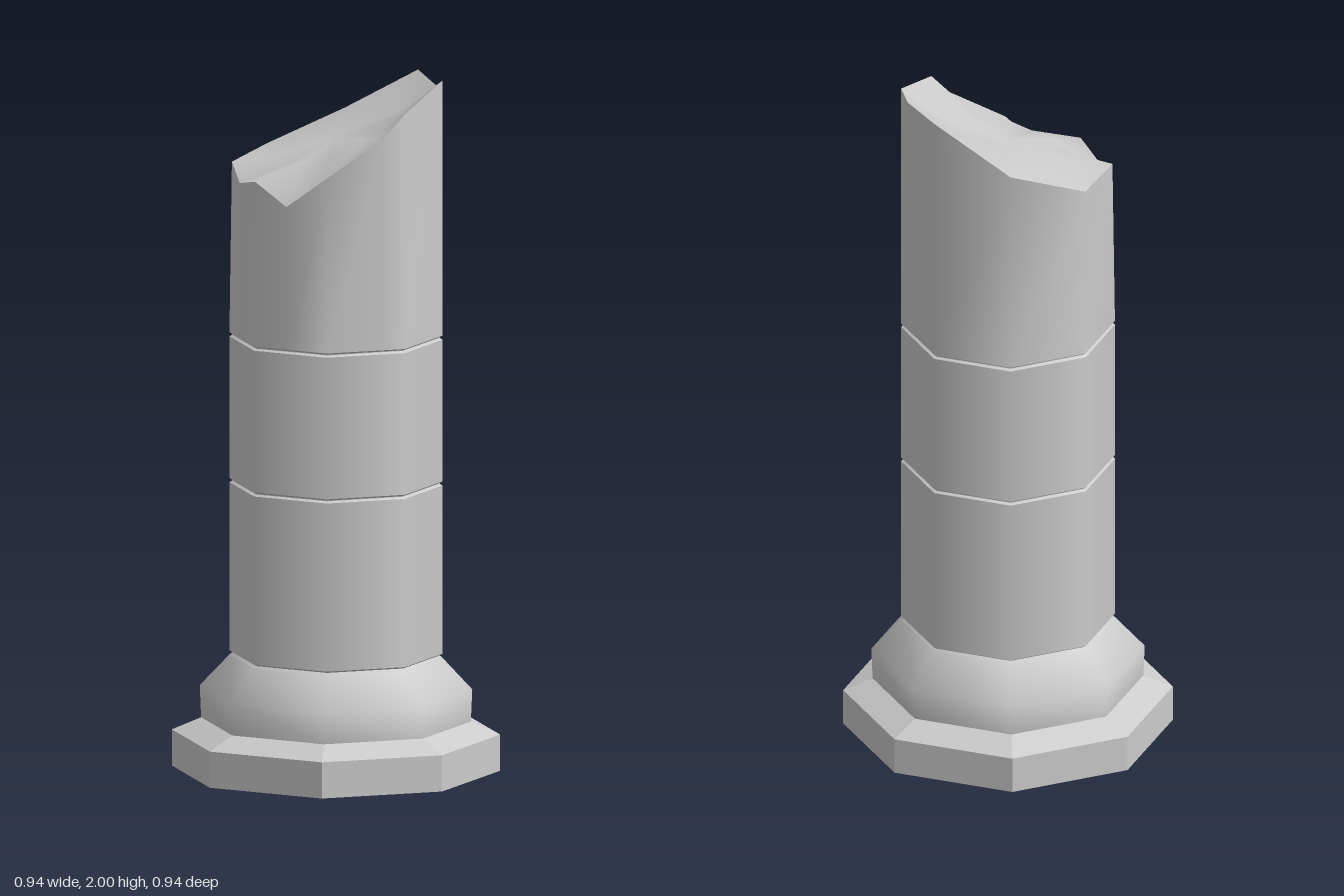
import * as THREE from 'three';
import { mergeGeometries } from 'three/addons/utils/BufferGeometryUtils.js';

const SIDES = 8;
const RADIUS = 0.305;
const material = new THREE.MeshStandardMaterial({ color: 0xcccccc });
const flatMaterial = new THREE.MeshStandardMaterial({ color: 0xcccccc, flatShading: true });

// Octagonal turned part; each profile is smooth, separate profiles meet at hard edges
function turned(name, profiles, mat = material) {
  const parts = profiles.map((profile) =>
    new THREE.LatheGeometry(profile.map(([r, y]) => new THREE.Vector2(r, y)), SIDES));
  const mesh = new THREE.Mesh(mergeGeometries(parts), mat);
  mesh.name = name;
  return mesh;
}

// Column drum with a narrow chamfer at both ends
function drum(name, y0, y1) {
  const c = 0.005, inner = RADIUS - 0.008;
  return turned(name, [
    [[inner, y0], [RADIUS, y0 + c]],
    [[RADIUS, y0 + c], [RADIUS, y1 - c]],
    [[RADIUS, y1 - c], [inner, y1]],
  ]);
}

// Indexed geometry from rings of equal length, listed from the bottom or outside inwards
function loft(rings) {
  const n = rings[0].length;
  const index = [];
  for (let k = 0; k < rings.length - 1; k++) {
    for (let i = 0; i < n; i++) {
      const j = (i + 1) % n;
      const a = k * n + i, b = k * n + j, c = (k + 1) * n + j, d = (k + 1) * n + i;
      index.push(a, b, c, a, c, d);
    }
  }
  const geometry = new THREE.BufferGeometry();
  geometry.setAttribute('position', new THREE.Float32BufferAttribute(rings.flat(2), 3));
  geometry.setIndex(index);
  geometry.computeVertexNormals();
  return geometry;
}

// Upper drum ending in a slanted, chipped break
function brokenDrum(y0) {
  const rim = [
    [0, 1.767, 0.3], [0.16, 1.875, 0.237], [0.213, 1.938, 0.213],
    [0.305, 2, 0], [0.287, 1.975, -0.04], [0.216, 1.99, -0.217],
    [0, 1.86, -0.305], [-0.215, 1.77, -0.215], [-0.298, 1.755, 0],
    [-0.268, 1.71, 0.09], [-0.213, 1.738, 0.213], [-0.12, 1.673, 0.252],
  ];
  // Project a rim point onto the octagon below it
  const foot = (offset, y) => rim.map(([x, , z]) => {
    const step = Math.PI / 4;
    const a = Math.atan2(x, z) + Math.PI * 2;
    const r = (RADIUS - offset) * Math.cos(step / 2) / Math.cos((a + 1e-6) % step - step / 2);
    return [r * Math.sin(a), y, r * Math.cos(a)];
  });
  const inner = rim.map(([x, , z]) => [x * 0.6, 1.835 + 0.21 * x - 0.07 * z, z * 0.6]);
  const centre = rim.map(() => [0, 1.83, 0]);

  const group = new THREE.Group();
  group.name = 'brokenDrum';
  const pieces = {
    brokenDrumChamfer: [foot(0.008, y0), foot(0, y0 + 0.005)],
    brokenDrumSide: [foot(0, y0 + 0.005), rim],
    breakSurface: [rim, inner, centre],
  };
  for (const [name, rings] of Object.entries(pieces)) {
    const mesh = new THREE.Mesh(loft(rings), material);
    mesh.name = name;
    group.add(mesh);
  }
  return group;
}

export function createModel() {
  const model = new THREE.Group();
  model.name = 'brokenColumn';

  // Base
  model.add(turned('plinth', [
    [[0, 0], [0.47, 0]],
    [[0.47, 0], [0.47, 0.105]],
    [[0.47, 0.105], [0.385, 0.142]],
  ], flatMaterial));
  model.add(turned('baseMoulding', [
    [[0.386, 0.14], [0.39, 0.235], [0.305, 0.325]],
    [[0.305, 0.325], [0.297, 0.332]],
  ]));

  // Shaft
  model.add(turned('grooveCore', [[[0.297, 0.32], [0.297, 1.28]]]));
  model.add(drum('lowerDrum', 0.332, 0.83));
  model.add(drum('middleDrum', 0.832, 1.253));
  model.add(brokenDrum(1.255));

  return model;
}
